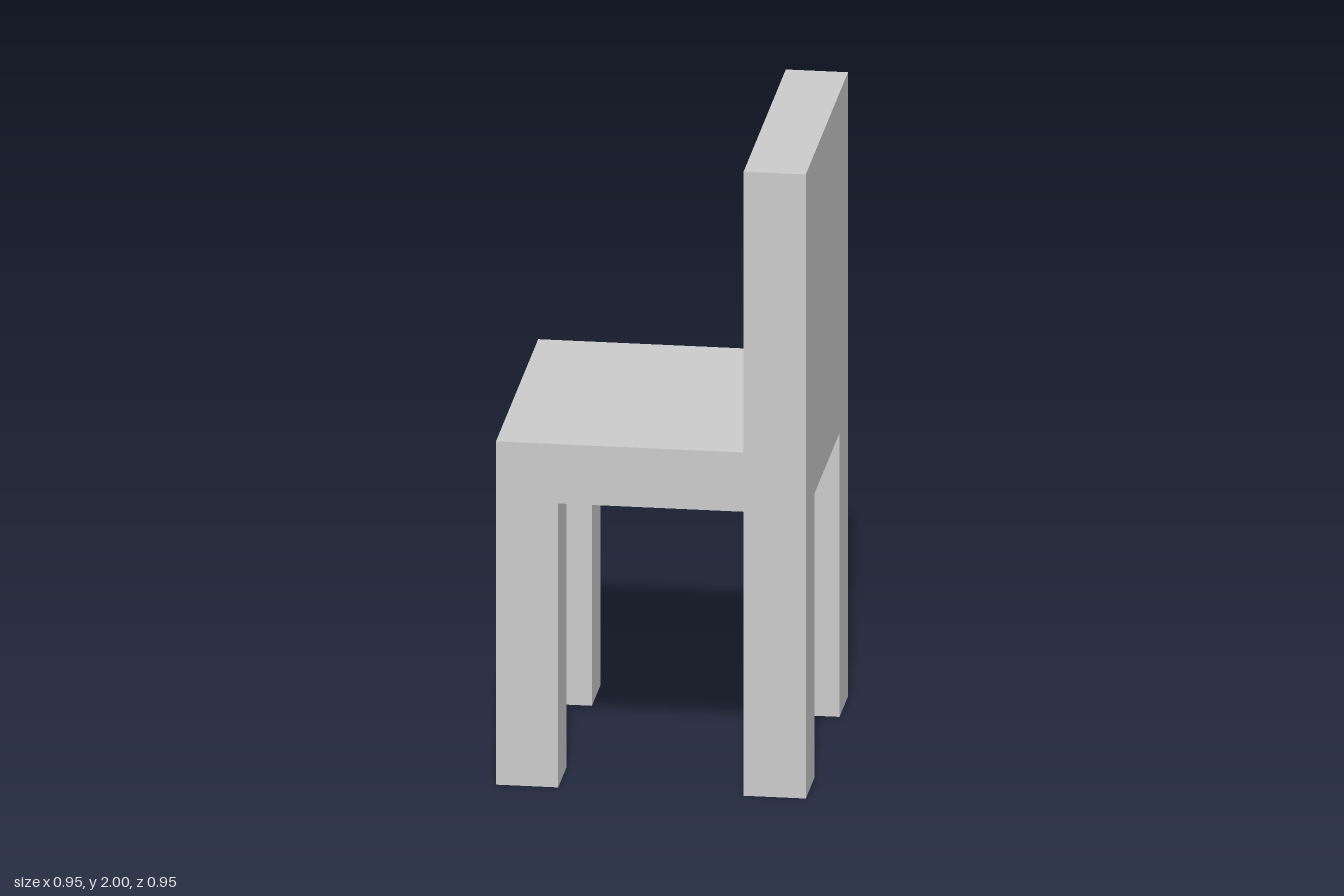
import * as THREE from 'three';

const WIDTH = 0.946;      // square footprint
const THICK = 0.19;       // legs, seat and backrest share one thickness
const SEAT_BOTTOM = 0.91;
const SEAT_TOP = 1.1;
const HEIGHT = 2;

export function createModel() {
  const chair = new THREE.Group();
  chair.name = 'chair';
  const material = new THREE.MeshStandardMaterial({ color: 0xcccccc, flatShading: true });

  // Box standing on height y, centred on x and z
  const addBox = (name, w, h, d, x, y, z) => {
    const mesh = new THREE.Mesh(new THREE.BoxGeometry(w, h, d), material);
    mesh.name = name;
    mesh.position.set(x, y + h / 2, z);
    chair.add(mesh);
  };

  const offset = (WIDTH - THICK) / 2;

  // Seat slab
  addBox('seat', WIDTH, SEAT_TOP - SEAT_BOTTOM, WIDTH, 0, SEAT_BOTTOM, 0);

  // Backrest panel along the +x edge
  addBox('backrest', THICK, HEIGHT - SEAT_TOP, WIDTH, offset, SEAT_TOP, 0);

  // Four corner legs; the backrest side is +x
  for (const sx of [-1, 1]) {
    for (const sz of [-1, 1]) {
      const name = (sx > 0 ? 'backrestSide' : 'openSide') + (sz > 0 ? 'FrontLeg' : 'RearLeg');
      addBox(name, THICK, SEAT_BOTTOM, THICK, sx * offset, 0, sz * offset);
    }
  }

  return chair;
}
